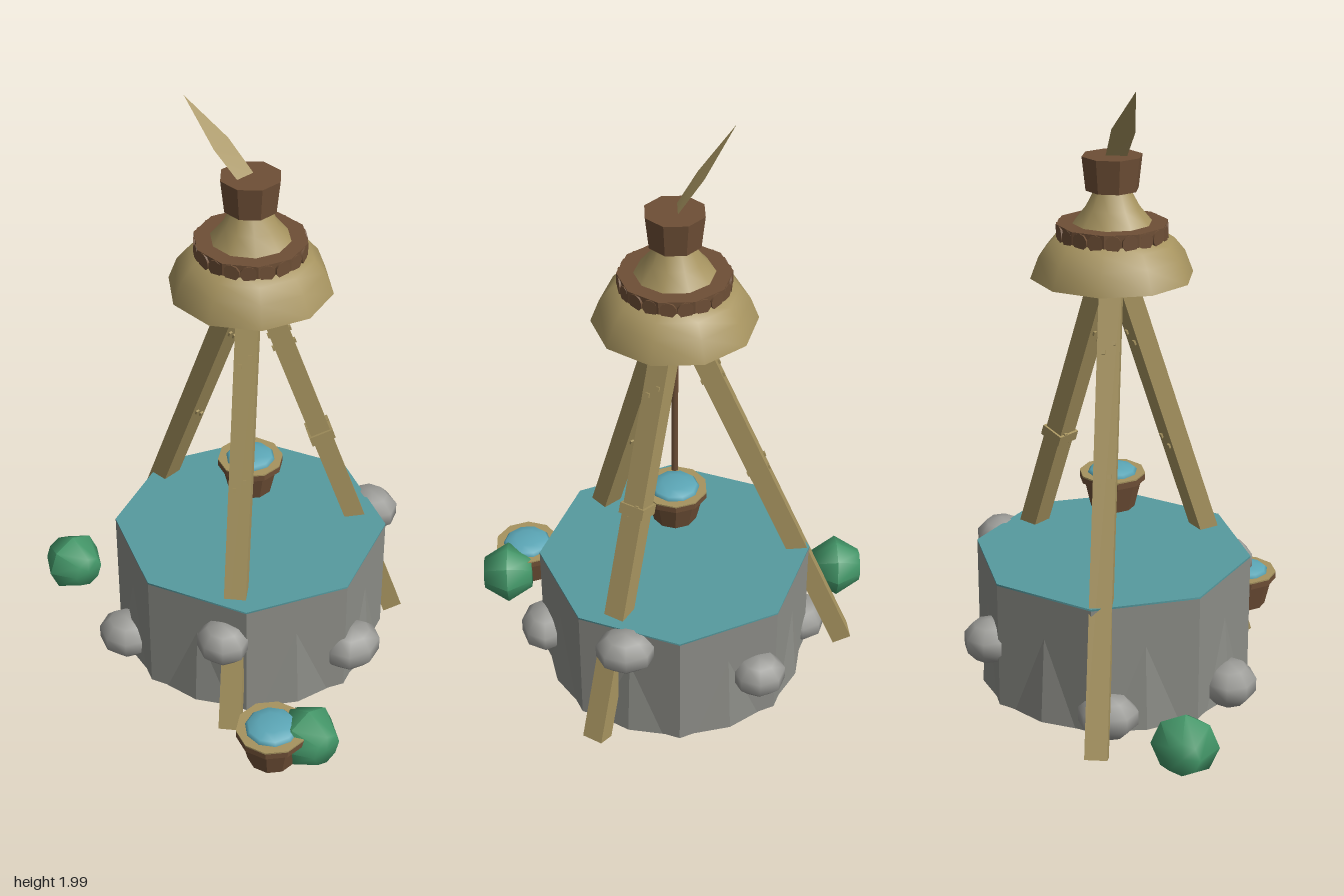
import * as THREE from 'three';
import { toCreasedNormals } from 'three/addons/utils/BufferGeometryUtils.js';

const mat = (name, color) => {
  const m = new THREE.MeshStandardMaterial({ color });
  m.name = name;
  return m;
};

export function createModel() {
  const root = new THREE.Group();
  root.name = 'well';
  const stone = mat('wall stone', 0x8b8c86);
  const rock = mat('loose rock', 0x9b9b97);
  const water = mat('well water', 0x569a9f);
  const bucketWater = mat('bucket water', 0x5ba6b6);
  const wood = mat('light wood', 0xa6935f);
  const darkWood = mat('dark wood', 0x6e4f36);
  const leaf = mat('bush green', 0x439668);
  const feather = mat('blade', 0xa6935f);
  feather.side = THREE.DoubleSide;
  const CZ = -0.015; // centre line of the well

  const add = (name, geo, material, x = 0, y = 0, z = 0, parent = root) => {
    const m = new THREE.Mesh(geo, material);
    m.name = name;
    m.position.set(x, y, z);
    parent.add(m);
    return m;
  };
  const flat = (geo) => toCreasedNormals(geo, 0.1);
  const lathe = (pts, sides, crease) =>
    toCreasedNormals(new THREE.LatheGeometry(pts.map((p) => new THREE.Vector2(...p)), sides, Math.PI / 2), crease);

  // Eight-sided stone basin, with a tapered core that breaks through the wall low down
  add('basinWall', flat(new THREE.CylinderGeometry(0.45, 0.45, 0.42, 8)), stone, 0, 0.26, CZ);
  add('basinFooting', flat(new THREE.CylinderGeometry(0.405, 0.438, 0.42, 16)), stone, 0, 0.258, CZ);
  add('waterSurface', new THREE.CylinderGeometry(0.45, 0.45, 0.006, 8), water, 0, 0.473, CZ);

  // Rocks set into the wall: position, then half sizes
  [
    [0.255, 0.34, 0.345, 0.09, 0.07, 0.085],
    [-0.18, 0.11, 0.39, 0.1, 0.073, 0.09],
    [-0.44, 0.11, 0.035, 0.085, 0.073, 0.1],
    [0.44, 0.19, -0.06, 0.085, 0.075, 0.105],
    [0.17, 0.415, -0.42, 0.1, 0.07, 0.085],
    [-0.26, 0.25, -0.375, 0.09, 0.072, 0.085],
  ].forEach(([x, y, z, sx, sy, sz]) => {
    add('rock', new THREE.SphereGeometry(1, 8, 5), rock, x, y, z).scale.set(sx, sy, sz);
  });

  // Bushes: faceted balls lying on their side
  const bushGeo = lathe([[0, -0.084], [0.055, -0.084], [0.105, 0], [0.055, 0.084], [0, 0.084]], 8, 1.2);
  bushGeo.rotateZ(Math.PI / 2);
  add('bushRight', bushGeo, leaf, -0.588, 0.115, 0.29);
  add('bushLeft', bushGeo, leaf, 0.585, 0.122, 0.287);

  // Tripod beams with collars and pegs
  const top = new THREE.Vector3(0, 1.41, CZ);
  [[-0.58, 0.04, 0.02], [0.325, 0.04, 0.38], [0.27, 0.04, -0.435]].forEach((f, i) => {
    const foot = new THREE.Vector3(...f);
    const out = new THREE.Vector3(f[0], 0, f[2] - CZ).normalize();
    const up = top.clone().addScaledVector(out, 0.025).sub(foot);
    const len = up.length();
    up.normalize();
    const side = new THREE.Vector3().crossVectors(up, out).normalize();
    const leg = new THREE.Group();
    leg.name = 'leg';
    leg.position.copy(foot);
    leg.quaternion.setFromRotationMatrix(
      new THREE.Matrix4().makeBasis(side, up, new THREE.Vector3().crossVectors(side, up)));
    root.add(leg);
    add('beam', new THREE.BoxGeometry(0.07, len, 0.065), wood, 0, len / 2, 0, leg);
    for (const t of [0.57, 0.845]) {
      if (i === 2 && t < 0.6) add('collar', new THREE.BoxGeometry(0.085, 0.035, 0.08), wood, 0, len * t, 0, leg);
      for (const s of [-0.015, 0.015])
        add('peg', new THREE.BoxGeometry(0.012, 0.014, 0.078), wood, s, len * t + s, 0, leg);
    }
  });

  // Roof: curved skirt, scalloped band, upper cone and cap
  add('roofSkirt', lathe([[0, 1.4], [0.255, 1.4], [0.228, 1.47], [0.195, 1.51], [0.15, 1.54], [0, 1.54]], 10, 0.8),
    wood, 0, 0, CZ);
  add('roofBand', flat(new THREE.CylinderGeometry(0.174, 0.174, 0.04, 10)), darkWood, 0, 1.548, CZ)
    .rotation.y = Math.PI / 2;
  for (let i = 0; i < 20; i++) {
    const a = ((i + 0.5) / 20) * Math.PI * 2;
    const g = new THREE.CylinderGeometry(0.026, 0.026, 0.012, 10);
    g.rotateX(Math.PI / 2);
    add('scallop', g, darkWood, Math.sin(a) * 0.165, 1.541, CZ + Math.cos(a) * 0.165).rotation.y = a;
  }
  add('roofCone', lathe([[0, 1.56], [0.13, 1.56], [0.085, 1.615], [0.05, 1.68], [0, 1.68]], 10, 0.8),
    wood, 0, 0, CZ);
  add('roofCap', flat(new THREE.CylinderGeometry(0.095, 0.083, 0.105, 8)), darkWood, 0, 1.722, CZ)
    .rotation.y = Math.PI / 8;
  add('roofHub', flat(new THREE.CylinderGeometry(0.062, 0.062, 0.03, 10)), darkWood, 0, 1.388, CZ);

  // Bent blade on top of the cap
  const blade = new THREE.BufferGeometry();
  blade.setAttribute('position', new THREE.Float32BufferAttribute([
    -0.005, 1.77, -0.035, -0.005, 1.77, 0.03,
    -0.085, 1.87, -0.005, -0.07, 1.86, 0.065,
    -0.18, 2.0, 0.08], 3));
  blade.setIndex([0, 1, 3, 0, 3, 2, 2, 3, 4]);
  blade.computeVertexNormals();
  add('topBlade', blade, feather);

  // Rope
  add('rope', new THREE.CylinderGeometry(0.012, 0.012, 0.57, 6), darkWood, 0, 1.105, CZ);

  // Buckets: staves, rim with pale top, domed water and a foot peg
  const bucket = (name, x, y, z, s) => {
    const b = new THREE.Group();
    b.name = name;
    b.position.set(x, y, z);
    b.scale.setScalar(s);
    root.add(b);
    add('staves', flat(new THREE.CylinderGeometry(0.095, 0.072, 0.1, 10)), darkWood, 0, 0.05, 0, b);
    add('rim', flat(new THREE.CylinderGeometry(0.106, 0.106, 0.02, 10)), darkWood, 0, 0.103, 0, b);
    add('rimTop', new THREE.CylinderGeometry(0.106, 0.106, 0.005, 10), wood, 0, 0.115, 0, b);
    add('waterDome', new THREE.SphereGeometry(0.082, 10, 3, 0, Math.PI * 2, 0, Math.PI / 2), bucketWater, 0, 0.115, 0, b)
      .scale.y = 0.3;
    add('footPeg', new THREE.CylinderGeometry(0.012, 0.012, 0.03, 6), darkWood, 0, -0.008, 0, b);
  };
  bucket('hangingBucket', 0, 0.63, CZ, 1);
  bucket('groundBucket', 0.518, 0.052, 0.382, 1.07);

  return root;
}
